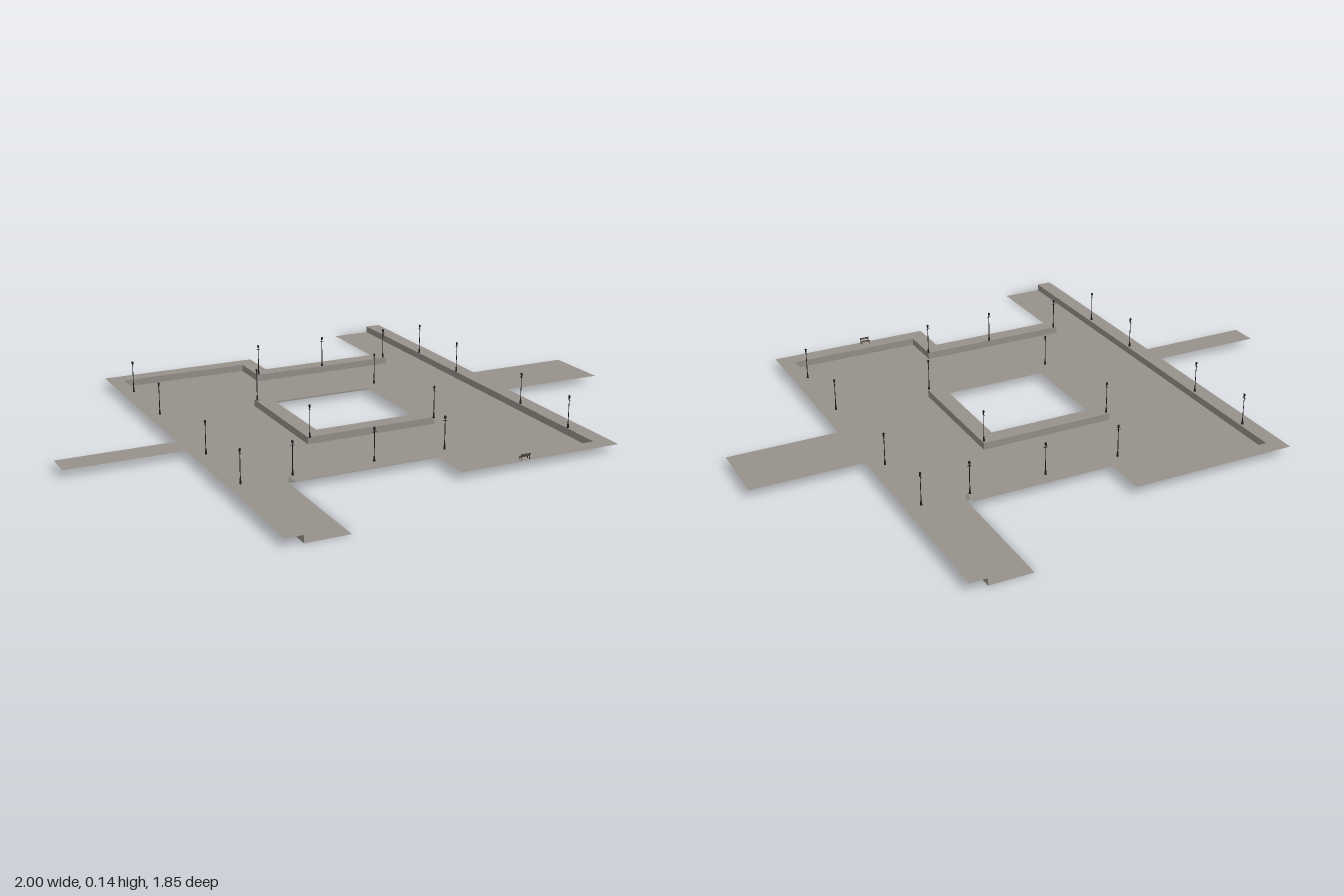
import * as THREE from 'three';

const CURB = 0.024; // pavement height above the road

export function createModel() {
  const model = new THREE.Group();
  const paving = new THREE.MeshStandardMaterial({ color: 0x96918a, side: THREE.DoubleSide });
  paving.name = 'warm grey paving';
  const iron = new THREE.MeshStandardMaterial({ color: 0x1c1c1c });
  iron.name = 'black iron';
  const wood = new THREE.MeshStandardMaterial({ color: 0x4a443c });
  wood.name = 'dark wood';

  const add = (parent, name, geo, mat, x = 0, y = 0, z = 0) => {
    const m = new THREE.Mesh(geo, mat);
    m.name = name;
    m.position.set(x, y, z);
    parent.add(m);
    return m;
  };
  const toShape = (pts) => pts.map(([x, z]) => new THREE.Vector2(x, -z));
  const flat = (name, pts, y, hole) => {
    const shape = new THREE.Shape(toShape(pts));
    if (hole) shape.holes.push(new THREE.Path(toShape(hole)));
    add(model, name, new THREE.ShapeGeometry(shape).rotateX(-Math.PI / 2), paving, 0, y);
  };
  const rect = (x0, x1, z0, z1) => [[x0, z0], [x1, z0], [x1, z1], [x0, z1]];
  // vertical kerb face along a path of [x, z] points
  const kerb = (name, pts) => {
    const pos = [];
    for (let i = 0; i < pts.length - 1; i++) {
      const [ax, az] = pts[i], [bx, bz] = pts[i + 1];
      pos.push(ax, 0, az, bx, 0, bz, bx, CURB, bz, ax, 0, az, bx, CURB, bz, ax, CURB, az);
    }
    const g = new THREE.BufferGeometry();
    g.setAttribute('position', new THREE.Float32BufferAttribute(pos, 3));
    g.computeVertexNormals();
    add(model, name, g, paving);
  };

  // kerb lines and outer pavement edges
  const frontKerb = [[-0.413, 0.5], [0.115, 0.5], [0.115, 0.645], [0.572, 0.645], [0.572, -0.925]];
  const frontEdge = [[0.627, -0.925], [0.627, 0.7], [0.06, 0.7], [0.06, 0.554], [-0.413, 0.554]];
  const backKerb = [[0.43, -0.486], [-0.097, -0.486], [-0.097, -0.632], [-0.555, -0.632], [-0.555, 0.92]];
  const backEdge = [[-0.609, 0.92], [-0.609, -0.686], [-0.042, -0.686], [-0.042, -0.54], [0.43, -0.54]];
  const islandOuter = rect(-0.219, 0.243, -0.222, 0.215);
  const islandInner = rect(-0.164, 0.188, -0.167, 0.16);

  // road, pavements and the raised island around the open court
  flat('road', [...frontKerb, [0.43, -0.925], ...backKerb, [-0.413, 0.92]], 0, islandOuter);
  flat('frontPavement', [...frontKerb, ...frontEdge], CURB);
  flat('backPavement', [...backKerb, ...backEdge], CURB);
  flat('islandPavement', islandOuter, CURB, islandInner);
  flat('leftPath', rect(0.627, 1, -0.172, 0.06), CURB);
  flat('rightPath', rect(-1, -0.609, 0.072, 0.166), CURB);
  kerb('frontKerb', frontKerb);
  kerb('backKerb', backKerb);
  kerb('islandKerb', [...islandOuter, islandOuter[0]]);

  // street lamps: [x, z, turned]
  const base = new THREE.CylinderGeometry(0.002, 0.0038, 0.017, 8);
  const pole = new THREE.CylinderGeometry(0.001, 0.0015, 0.09, 6);
  const arm = new THREE.BoxGeometry(0.014, 0.0015, 0.0015);
  const lantern = new THREE.CylinderGeometry(0.004, 0.0025, 0.009, 6);
  const cap = new THREE.ConeGeometry(0.0045, 0.003, 6);
  const lamps = [
    [-0.09, -0.492, 0], [0.165, -0.492, 0], [0.42, -0.492, 0],
    [-0.4, 0.502, 0], [-0.13, 0.502, 0], [0.115, 0.502, 0],
  ];
  for (const z of [-0.488, -0.21, 0.22, 0.5]) lamps.push([-0.565, z, 1], [0.576, z, 1]);
  for (const z of [-0.21, 0.22]) lamps.push([-0.214, z, 1], [0.237, z, 1]);
  for (const [x, z, turned] of lamps) {
    const lamp = new THREE.Group();
    lamp.name = 'streetLamp';
    lamp.position.set(x, CURB, z);
    lamp.rotation.y = turned * Math.PI / 2;
    add(lamp, 'lampBase', base, iron, 0, 0.0085);
    add(lamp, 'lampPole', pole, iron, 0, 0.055);
    add(lamp, 'lampArm', arm, iron, 0, 0.094);
    add(lamp, 'lantern', lantern, iron, 0, 0.1035);
    add(lamp, 'lanternCap', cap, iron, 0, 0.1095);
    model.add(lamp);
  }

  // bench facing the road
  const bench = new THREE.Group();
  bench.name = 'bench';
  bench.position.set(0.288, CURB, 0.688);
  for (let i = 0; i < 3; i++)
    add(bench, 'seatSlat', new THREE.BoxGeometry(0.034, 0.0012, 0.003), wood, 0, 0.01, -0.007 + i * 0.004);
  for (let i = 0; i < 2; i++)
    add(bench, 'backSlat', new THREE.BoxGeometry(0.034, 0.003, 0.0012), wood, 0, 0.015 + i * 0.004, 0.005 + i * 0.001);
  for (const s of [-1, 1]) {
    add(bench, 'frontLeg', new THREE.BoxGeometry(0.0015, 0.01, 0.0015), iron, s * 0.014, 0.005, -0.006);
    add(bench, 'backLeg', new THREE.BoxGeometry(0.0015, 0.02, 0.0015), iron, s * 0.014, 0.01, 0.005);
  }
  model.add(bench);
  return model;
}
